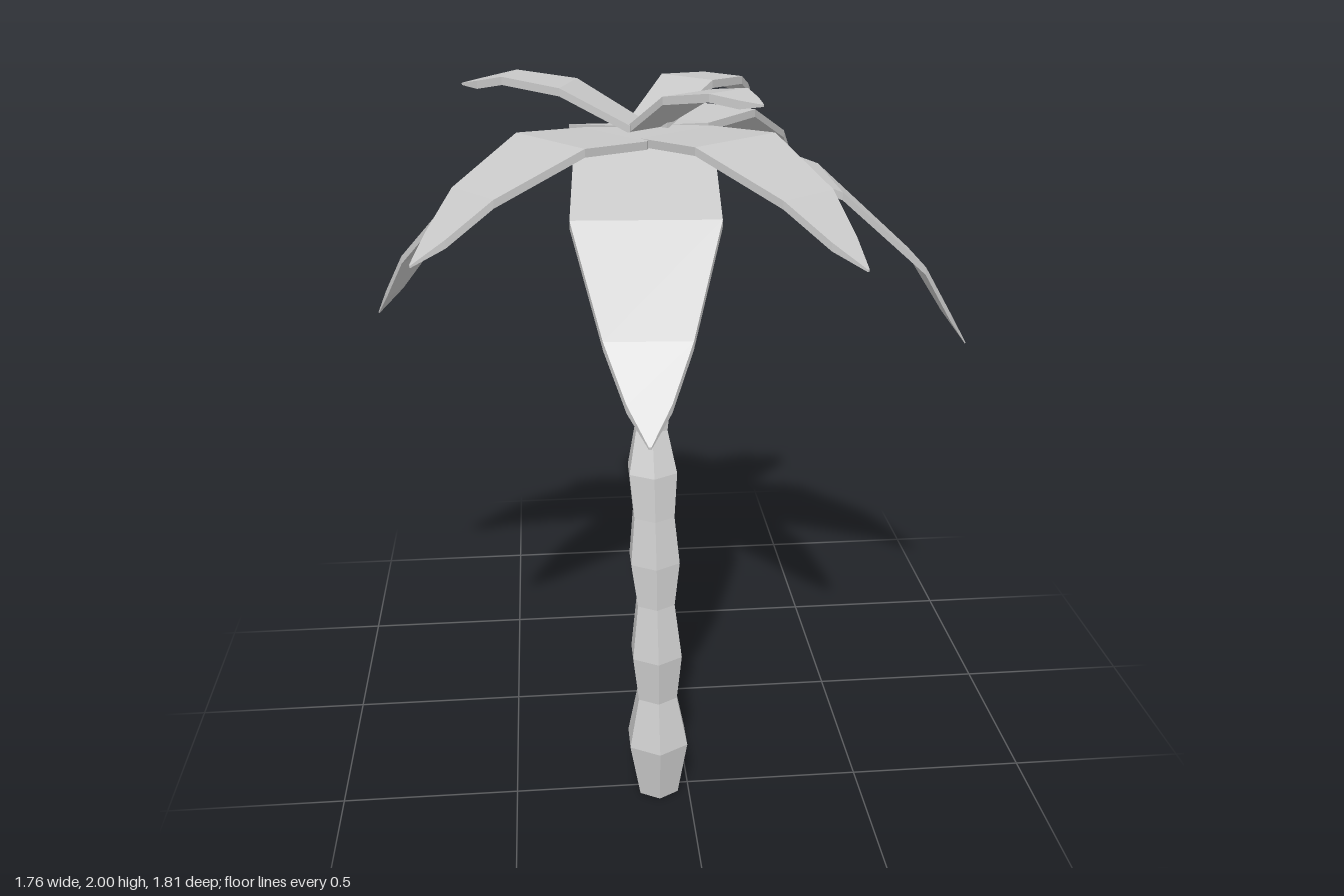
import * as THREE from 'three';

const grey = new THREE.MeshStandardMaterial({ color: 0xc8c8c8, flatShading: true });
grey.name = 'plain grey';

// Closed skin over equal-sized rings, each turning right-handed about the direction of travel
function loft(rings) {
  const n = rings[0].length;
  const index = [];
  for (let i = 0; i < rings.length - 1; i++) {
    for (let j = 0; j < n; j++) {
      const a = i * n + j, b = i * n + (j + 1) % n;
      index.push(a, b, b + n, a, b + n, a + n);
    }
  }
  const last = (rings.length - 1) * n;
  for (let j = 1; j < n - 1; j++) {
    index.push(0, j + 1, j, last, last + j, last + j + 1);
  }
  const g = new THREE.BufferGeometry();
  g.setAttribute('position', new THREE.Float32BufferAttribute(rings.flat(2), 3));
  g.setIndex(index);
  const flat = g.toNonIndexed();
  flat.computeVertexNormals();
  return flat;
}

function part(name, geometry) {
  const mesh = new THREE.Mesh(geometry, grey);
  mesh.name = name;
  return mesh;
}

// Six-sided knobbly trunk: [y, z, radius] per ring
function makeTrunk() {
  const rows = [
    [0, 0.51, 0.063], [0.16, 0.495, 0.095], [0.3, 0.48, 0.063], [0.43, 0.465, 0.08],
    [0.58, 0.44, 0.06], [0.7, 0.408, 0.079], [0.83, 0.385, 0.065], [0.95, 0.348, 0.077],
    [1.06, 0.31, 0.051], [1.18, 0.283, 0.07], [1.3, 0.24, 0.051], [1.42, 0.205, 0.06],
    [1.55, 0.175, 0.045], [1.68, 0.15, 0.055], [1.84, 0.12, 0.045],
  ];
  return part('trunk', loft(rows.map(([y, z, r]) => {
    const ring = [];
    for (let i = 0; i < 6; i++) {
      const a = i * Math.PI / 3;
      ring.push([-0.087 + r * Math.sin(a), y, z + r * Math.cos(a)]);
    }
    return ring;
  })));
}

// Thin folded leaf running from start to tip (x, z); stations are [fraction, y, width]
function makeLeaf(name, start, tip, stations, tipY) {
  const dx = tip[0] - start[0], dz = tip[1] - start[1];
  const len = Math.hypot(dx, dz);
  const px = -dz / len, pz = dx / len;
  // The last stretch curves in to a point
  const [t0, y0, w0] = stations[stations.length - 1];
  const all = [
    ...stations,
    [t0 + (1 - t0) * 0.6, y0 + (tipY - y0) * 0.6, w0 * 0.5],
    [1, tipY, 0.006],
  ];
  const rings = all.map(([t, y, w], i) => {
    const x = start[0] + dx * t, z = start[1] + dz * t, h = w / 2;
    const thick = i === all.length - 1 ? 0.006 : 0.022;
    return [
      [x + px * h, y, z + pz * h], [x + px * h, y - thick, z + pz * h],
      [x - px * h, y - thick, z - pz * h], [x - px * h, y, z - pz * h],
    ];
  });
  return part(name, loft(rings));
}

const drooping = [[0, 1.86, 0.1], [0.155, 1.84, 0.375], [0.54, 1.705, 0.385], [0.825, 1.465, 0.22]];
const spreading = [[0, 1.862, 0.12], [0.12, 1.862, 0.27], [0.41, 1.872, 0.295], [0.74, 1.77, 0.185]];
const rising = [[0, 1.88, 0.13], [0.38, 1.978, 0.185], [0.72, 2.0, 0.14]];
const risingLow = [[0, 1.88, 0.13], [0.36, 1.975, 0.185], [0.72, 1.965, 0.14]];

export function createModel() {
  const tree = new THREE.Group();
  tree.name = 'palmTree';
  tree.add(makeTrunk());

  const leaves = [
    ['droopingLeafBack', [-0.1, 0.06], [-0.09, -0.91], drooping, 1.2],
    ['droopingLeafLeft', [-0.06, 0.055], [0.875, 0.065], drooping, 1.2],
    ['droopingLeafFront', [-0.085, 0.06], [-0.135, 0.9], drooping, 1.25],
    ['droopingLeafRight', [-0.1, 0.08], [-0.88, -0.24], drooping, 1.25],
    ['spreadingLeafFrontRight', [-0.1, 0.14], [-0.7, 0.575], spreading, 1.62],
    ['spreadingLeafFrontLeft', [-0.06, 0.1], [0.415, 0.715], spreading, 1.62],
    ['spreadingLeafBackLeft', [-0.06, 0.02], [0.435, -0.52], spreading, 1.62],
    ['topLeafRight', [-0.11, 0.11], [-0.58, -0.03], rising, 1.97],
    ['topLeafFront', [-0.08, 0.12], [0.185, 0.465], rising, 1.98],
    ['topLeafBack', [-0.07, 0.07], [0.255, -0.255], risingLow, 1.91],
  ];
  for (const leaf of leaves) tree.add(makeLeaf(...leaf));

  // Three nuts around the trunk, under the crown
  const nuts = new THREE.Group();
  nuts.name = 'coconuts';
  for (const [x, z] of [[0.004, 0.042], [-0.19, 0.04], [-0.05, 0.218]]) {
    const nut = part('coconut', new THREE.SphereGeometry(0.085, 8, 6));
    nut.position.set(x, 1.7, z);
    nuts.add(nut);
  }
  tree.add(nuts);
  return tree;
}
